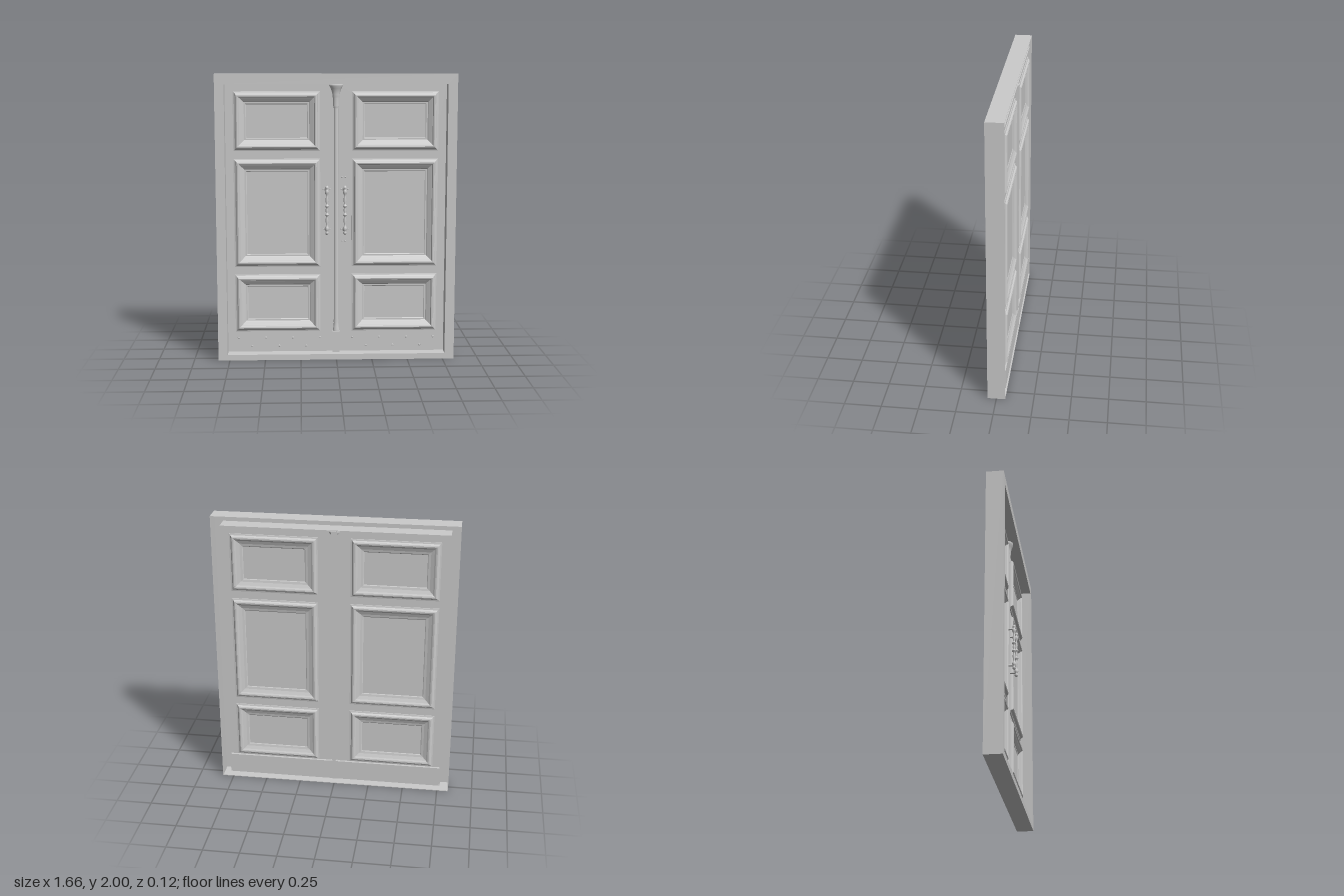
import * as THREE from 'three';

const grey = new THREE.MeshStandardMaterial({ color: 0xcccccc, side: THREE.DoubleSide });
const FRONT = -0.026, BACK = -0.04; // faces of the door leaves
const PANELS = [[0.19, 0.6], [0.655, 1.415], [1.47, 1.88]];
const PX0 = 0.11, PX1 = 0.71; // panel extent across each leaf

function add(parent, name, geometry, x = 0, y = 0, z = 0) {
  const mesh = new THREE.Mesh(geometry, grey);
  mesh.name = name;
  mesh.position.set(x, y, z);
  parent.add(mesh);
  return mesh;
}

// Box given by its extents
function block(parent, name, x0, x1, y0, y1, z0, z1) {
  return add(parent, name, new THREE.BoxGeometry(x1 - x0, y1 - y0, z1 - z0),
    (x0 + x1) / 2, (y0 + y1) / 2, (z0 + z1) / 2);
}

function rect(C, x0, x1, y0, y1) {
  const s = new C();
  s.moveTo(x0, y0).lineTo(x1, y0).lineTo(x1, y1).lineTo(x0, y1).closePath();
  return s;
}

// Rectangular plate with rectangular holes, each as [x0, x1, y0, y1]
function plate(parent, name, outer, holes, z0, z1) {
  const shape = rect(THREE.Shape, ...outer);
  shape.holes = holes.map(h => rect(THREE.Path, ...h));
  const g = new THREE.ExtrudeGeometry(shape, { depth: z1 - z0, bevelEnabled: false });
  return add(parent, name, g, 0, 0, z0);
}

// Mitred moulding round a rectangle, closed by a flat field; profile is [inset, height]
function mouldedPanel(w, h, profile) {
  const p = [];
  const corners = ([i, z]) => {
    const a = w / 2 - i, b = h / 2 - i;
    return [[-a, -b, z], [a, -b, z], [a, b, z], [-a, b, z]];
  };
  const quad = (a, b, c, d) => p.push(...a, ...b, ...c, ...a, ...c, ...d);
  for (let i = 0; i < profile.length - 1; i++) {
    const o = corners(profile[i]), n = corners(profile[i + 1]);
    for (let k = 0; k < 4; k++) quad(o[k], o[(k + 1) % 4], n[(k + 1) % 4], n[k]);
  }
  quad(...corners(profile[profile.length - 1]));
  const g = new THREE.BufferGeometry();
  g.setAttribute('position', new THREE.Float32BufferAttribute(p, 3));
  g.computeVertexNormals();
  return g;
}

function lathe(points, segments = 20) {
  return new THREE.LatheGeometry(points.map(([r, y]) => new THREE.Vector2(r, y)), segments);
}

function makeFrame() {
  const frame = new THREE.Group();
  frame.name = 'frame';
  const outer = [-0.83, 0.83, 0, 2], opening = [-0.765, 0.765, 0.04, 1.93], t = 0.004;
  plate(frame, 'frameFront', outer, [opening], 0.056, 0.06);
  // Hollow casing, open at the back
  plate(frame, 'frameCasing', outer, [[-0.83 + t, 0.83 - t, t, 2 - t]], -0.06, 0.056);
  plate(frame, 'frameReveal', [-0.765 - t, 0.765 + t, 0.04 - t, 1.93 + t], [opening], -0.05, 0.056);
  return frame;
}

function makeLeaf(s) {
  const leaf = new THREE.Group();
  leaf.name = s > 0 ? 'leftLeaf' : 'rightLeaf';
  const span = (a, b) => (s > 0 ? [a, b] : [-b, -a]);
  plate(leaf, 'leafBoard', [...span(0.002, 0.765), 0.04, 1.93],
    PANELS.map(([a, b]) => [...span(PX0 + 0.03, PX1 - 0.03), a + 0.03, b - 0.03]), BACK, FRONT);

  // Panels with raised mouldings on both faces
  const frontProfile = [[0, 0], [0, 0.008], [0.008, 0.01], [0.016, 0.016], [0.02, 0.026], [0.028, 0.03],
    [0.037, 0.028], [0.042, 0.02], [0.048, 0.017], [0.069, 0.005], [0.075, 0], [0.085, 0], [0.09, -0.003]];
  const backProfile = [[0, 0], [0, 0.006], [0.01, 0.008], [0.018, 0.017], [0.026, 0.02],
    [0.036, 0.018], [0.046, 0.012], [0.069, 0.003], [0.085, 0], [0.09, -0.003]];
  for (const [y0, y1] of PANELS) {
    const x = s * (PX0 + PX1) / 2, y = (y0 + y1) / 2;
    add(leaf, 'frontPanel', mouldedPanel(PX1 - PX0, y1 - y0, frontProfile), x, y, FRONT);
    add(leaf, 'backPanel', mouldedPanel(PX1 - PX0, y1 - y0, backProfile), x, y, BACK).rotation.y = Math.PI;
  }

  // Back kick plate, and staggered rivets on the front
  block(leaf, 'backKickPlate', ...span(0.022, 0.762), 0.042, 0.185, -0.056, BACK);
  for (let i = 0; i < 7; i++) {
    const rivet = new THREE.SphereGeometry(0.008, 10, 6);
    add(leaf, 'rivet', rivet, s * (0.115 + i * 0.096), i % 2 ? 0.08 : 0.14, FRONT).scale.z = 0.25;
  }
  return leaf;
}

function makeHandle(x) {
  const handle = new THREE.Group();
  handle.name = 'handle';
  handle.position.set(x, 1.06, 0);
  // Turned grip, symmetric about its middle
  const half = [[0.01, 0], [0.008, 0.012], [0.008, 0.02], [0.015, 0.027], [0.015, 0.033], [0.008, 0.04],
    [0.007, 0.05], [0.011, 0.07], [0.007, 0.095], [0.007, 0.11], [0.012, 0.117], [0.014, 0.13],
    [0.012, 0.14], [0.007, 0.147], [0.012, 0.154], [0.012, 0.162], [0.007, 0.17], [0, 0.173]];
  const profile = [...half.slice(1).reverse().map(([r, y]) => [r, -y]), ...half];
  add(handle, 'grip', lathe(profile), 0, 0, 0.032);
  for (const y of [-0.14, 0.14]) {
    // Stand-off with rosette at the door
    const post = [[0.016, 0], [0.016, 0.004], [0.011, 0.008], [0.007, 0.014], [0.007, 0.058]];
    add(handle, 'standOff', lathe(post), 0, y, FRONT).rotation.x = Math.PI / 2;
    for (const [dx, dy] of [[-0.023, 0], [0.023, 0], [0, 0.023], [0, -0.023]]) {
      add(handle, 'screw', new THREE.SphereGeometry(0.005, 8, 6), dx, y + dy, FRONT).scale.z = 0.5;
    }
  }
  return handle;
}

function makeMeetingPost() {
  const post = new THREE.Group();
  post.name = 'meetingPost';
  // Slender column with flared capital on the front
  const profile = [[0.022, 0.19], [0.022, 0.2], [0.019, 0.22], [0.016, 0.25], [0.018, 0.262], [0.016, 0.275],
    [0.015, 1.76], [0.018, 1.77], [0.02, 1.78], [0.02, 1.835], [0.025, 1.84],
    [0.025, 1.86], [0.03, 1.88], [0.037, 1.9], [0.047, 1.916], [0.048, 1.93], [0, 1.93]];
  add(post, 'column', lathe(profile, 24), 0, 0, -0.018).scale.z = 0.75;
  block(post, 'columnBase', -0.025, 0.025, 0.04, 0.19, FRONT, 0.008);
  // Cover strip and foot on the back
  block(post, 'backStrip', -0.015, 0.015, 0.04, 1.93, -0.056, BACK);
  block(post, 'backFoot', -0.022, 0.022, 0.04, 0.19, -0.06, BACK);
  block(post, 'backHead', -0.02, 0.02, 1.83, 1.93, -0.058, BACK);
  return post;
}

export function createModel() {
  const model = new THREE.Group();
  model.name = 'doubleDoor';
  model.add(makeFrame(), makeLeaf(1), makeLeaf(-1), makeMeetingPost(), makeHandle(0.06), makeHandle(-0.065));
  // Lock screws above and below the left leaf's handle
  for (const y of [0.835, 1.285]) {
    for (const dx of [-0.012, 0.012]) {
      add(model, 'lockScrew', new THREE.SphereGeometry(0.005, 8, 6), 0.053 + dx, y, FRONT).scale.z = 0.5;
    }
  }
  return model;
}
